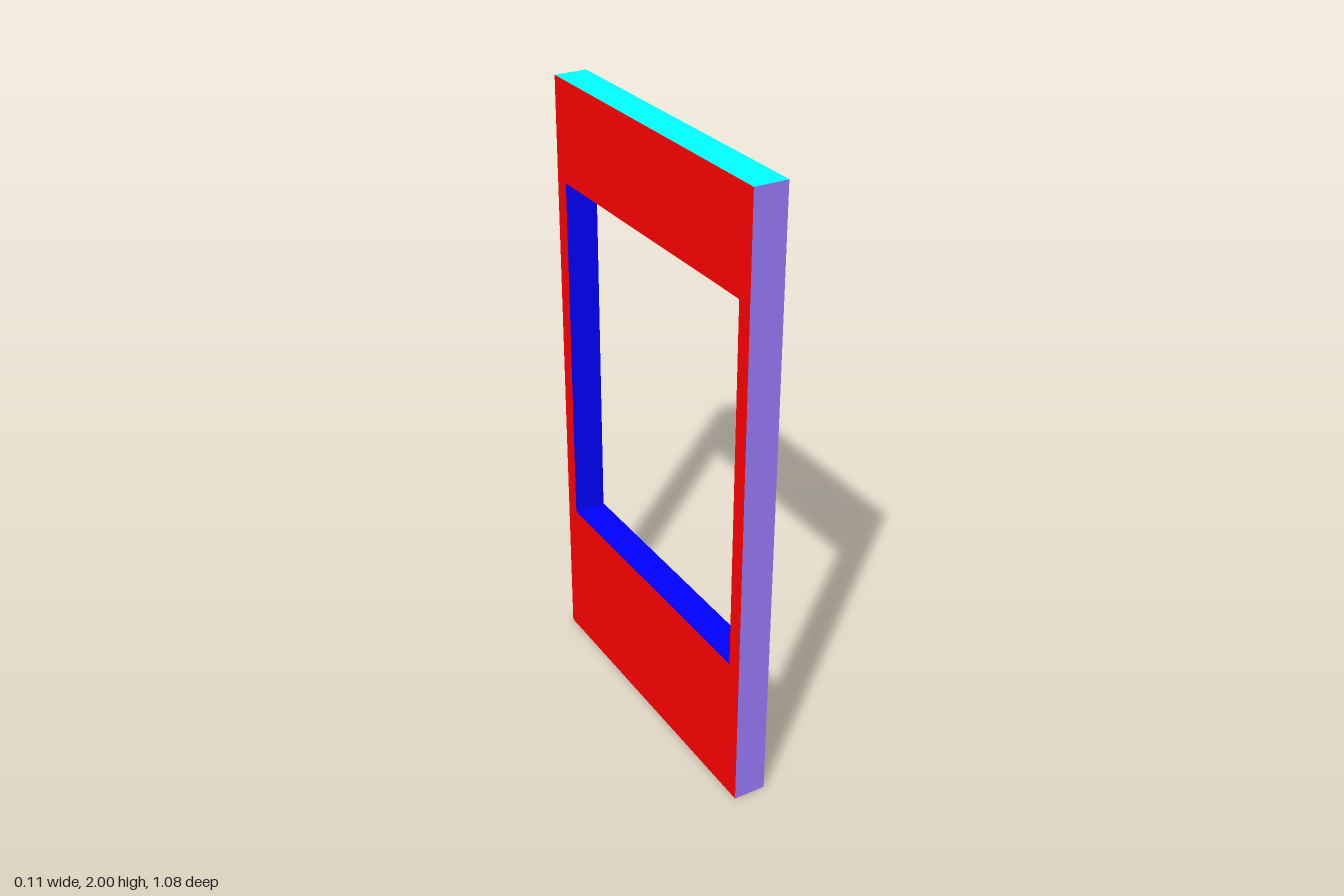
import * as THREE from 'three';

const T = 0.053; // half thickness (x)
const D = 0.54; // half depth (z)
const H = 2; // height
const HOLE = { z: 0.488, y0: 0.488, y1: 1.676 };

function addMesh(parent, name, geometry, color) {
  const mesh = new THREE.Mesh(geometry, new THREE.MeshStandardMaterial({ color }));
  mesh.name = name;
  parent.add(mesh);
}

// Four inward- or outward-facing strips around a rectangle in the z-y plane
function strip(side, halfZ, y0, y1, inward) {
  const upright = side === 'front' || side === 'back';
  const g = new THREE.PlaneGeometry(2 * T, upright ? y1 - y0 : 2 * halfZ);
  const positive = side === 'front' || side === 'top';
  const facesPositive = positive !== inward;
  if (upright) {
    if (!facesPositive) g.rotateY(Math.PI);
    g.translate(0, (y0 + y1) / 2, positive ? halfZ : -halfZ);
  } else {
    g.rotateX(facesPositive ? -Math.PI / 2 : Math.PI / 2);
    g.translate(0, positive ? y1 : y0, 0);
  }
  return g;
}

// Broad face with the rectangular opening cut out
function broadFace(sign) {
  const shape = new THREE.Shape();
  shape.moveTo(-D, 0).lineTo(D, 0).lineTo(D, H).lineTo(-D, H).closePath();
  const hole = new THREE.Path();
  hole.moveTo(-HOLE.z, HOLE.y0).lineTo(-HOLE.z, HOLE.y1);
  hole.lineTo(HOLE.z, HOLE.y1).lineTo(HOLE.z, HOLE.y0).closePath();
  shape.holes.push(hole);
  return new THREE.ShapeGeometry(shape).rotateY(sign * Math.PI / 2).translate(sign * T, 0, 0);
}

export function createModel() {
  const model = new THREE.Group();
  model.name = 'framedPanel';

  // Broad faces
  addMesh(model, 'leftFace', broadFace(1), 0xcccccc);
  addMesh(model, 'rightFace', broadFace(-1), 0xff0000);

  // Outer edges
  const edgeColors = { front: 0x997bfa, back: 0xffff00, top: 0x00ffff, bottom: 0x00ffff };
  for (const [side, color] of Object.entries(edgeColors)) {
    addMesh(model, side + 'Edge', strip(side, D, 0, H, false), color);
  }

  // Lining of the opening
  const lining = new THREE.Group();
  lining.name = 'openingLining';
  for (const side of Object.keys(edgeColors)) {
    addMesh(lining, side + 'Lining', strip(side, HOLE.z, HOLE.y0, HOLE.y1, true), 0x0000ff);
  }
  model.add(lining);
  return model;
}
